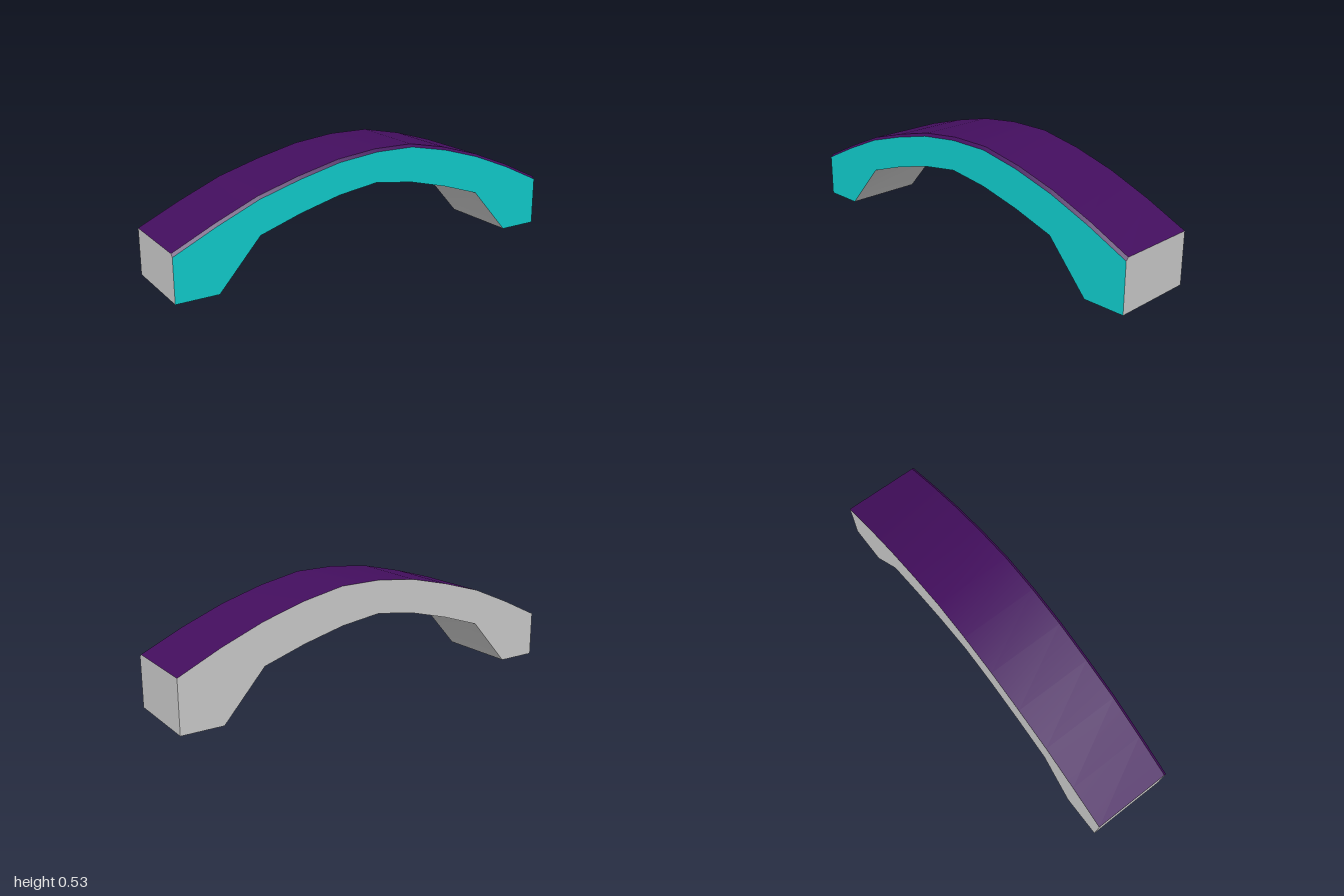
import * as THREE from 'three';

const HALF = 0.2;      // half depth of the arch
const BEVEL = 0.013;   // chamfer along the front upper edge

// Upper and lower outlines, from x = -1 to x = 1
const topY = [0.22, 0.315, 0.4, 0.458, 0.505, 0.527, 0.525, 0.484, 0.424, 0.344, 0.25];
const top = topY.map((y, i) => [-1 + i * 0.2, y]);
const lowered = top.map(([x, y]) => [x, y - BEVEL]);
const halfUnder = [[-0.8, 0], [-0.6, 0.226], [-0.4, 0.291], [-0.2, 0.342]];
const under = [...halfUnder, [0, 0.37], ...halfUnder.map(([x, y]) => [-x, y]).reverse()];

const teal = new THREE.MeshStandardMaterial({ color: 0x10cccc });
const purple = new THREE.MeshStandardMaterial({ color: 0x430e5e });
const grey = new THREE.MeshStandardMaterial({ color: 0xcccccc });

// Strip between outline a at depth za and outline b at depth zb, smooth along its length
function ribbon(a, za, b, zb) {
  const pos = [], index = [];
  a.forEach(([x, y], i) => {
    pos.push(x, y, za, b[i][0], b[i][1], zb);
    if (i) {
      const k = 2 * i - 2;
      index.push(k, k + 2, k + 1, k + 1, k + 2, k + 3);
    }
  });
  const g = new THREE.BufferGeometry();
  g.setAttribute('position', new THREE.Float32BufferAttribute(pos, 3));
  g.setIndex(index);
  g.computeVertexNormals();
  return g;
}

// Flat side wall of the arch, facing +z
function wall(upper) {
  const outline = [[-1, 0], ...under, [1, 0], ...[...upper].reverse()];
  return new THREE.ShapeGeometry(new THREE.Shape(outline.map(([x, y]) => new THREE.Vector2(x, y))));
}

// End wall with the front upper corner cut off
function endWall(height) {
  const pts = [[-HALF, 0], [HALF, 0], [HALF, height - BEVEL], [HALF - BEVEL, height], [-HALF, height]];
  return new THREE.ShapeGeometry(new THREE.Shape(pts.map(([z, y]) => new THREE.Vector2(-z, y))));
}

export function createModel() {
  const group = new THREE.Group();
  const add = (name, geometry, material) => {
    const mesh = new THREE.Mesh(geometry, material);
    mesh.name = name;
    group.add(mesh);
    return mesh;
  };

  // Deck and its chamfered front edge
  add('deck', ribbon(top, HALF - BEVEL, top, -HALF), purple);
  add('deckFrontEdge', ribbon(lowered, HALF, top, HALF - BEVEL), purple);

  // Side walls
  add('frontWall', wall(lowered).translate(0, 0, HALF), teal);
  const mirrored = top.map(([x, y]) => [-x, y]).reverse();
  add('backWall', wall(mirrored).rotateY(Math.PI).translate(0, 0, -HALF), grey);

  // Curved underside
  add('underside', ribbon(under, -HALF, under, HALF), grey);

  // End walls and feet
  add('leftEnd', endWall(topY[10]).rotateY(Math.PI / 2).translate(1, 0, 0), grey);
  const rightEnd = add('rightEnd', endWall(topY[0]).rotateY(Math.PI / 2).translate(-1, 0, 0), grey);
  rightEnd.material = grey.clone();
  rightEnd.material.side = THREE.DoubleSide;
  for (const [name, a, b] of [['rightFoot', -1, -0.8], ['leftFoot', 0.8, 1]]) {
    const line = [[a, 0], [b, 0]];
    add(name, ribbon(line, -HALF, line, HALF), grey);
  }
  return group;
}
